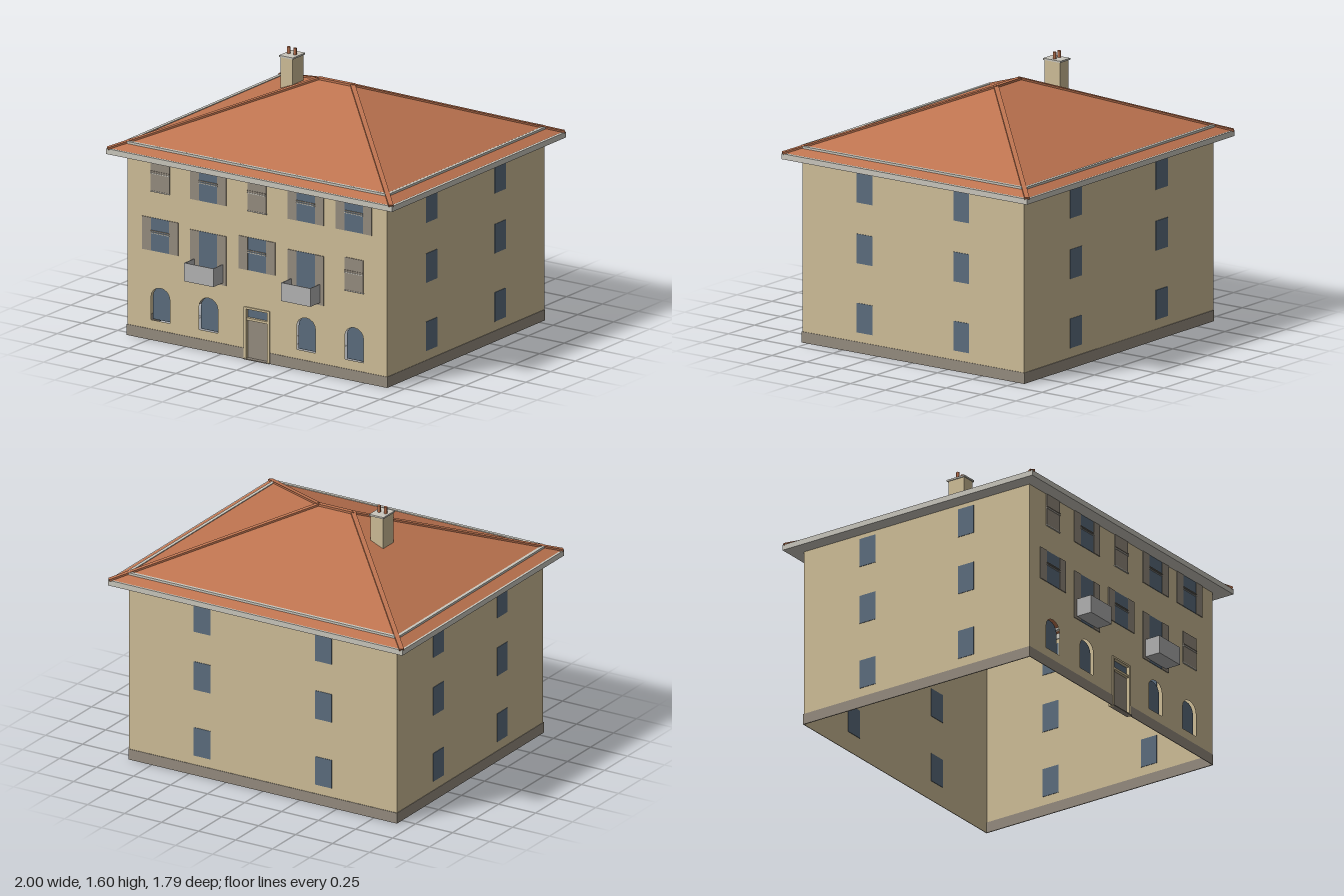
import * as THREE from 'three';

const mat = (name, color, side = THREE.FrontSide) => {
  const m = new THREE.MeshStandardMaterial({ color, side });
  m.name = name;
  return m;
};

export function createModel() {
  const house = new THREE.Group();
  house.name = 'house';
  const plaster = mat('plaster', 0xcfbe98, THREE.DoubleSide);
  const tile = mat('roof tile', 0xbe7450, THREE.DoubleSide);
  const glass = mat('glass', 0x5c6d7e, THREE.DoubleSide);
  const wood = mat('grey wood and stone', 0x958c7f);
  const trim = mat('pale trim', 0xcac7bd);
  const metal = mat('balcony metal', 0xb3b3b3);

  const W = 0.905, ZF = 0.79, ZB = -0.8, ZC = -0.006, H = 1.1;

  const add = (name, geo, material, x = 0, y = 0, z = 0, parent = house) => {
    const m = new THREE.Mesh(geo, material);
    m.name = name;
    m.position.set(x, y, z);
    parent.add(m);
    return m;
  };
  // box given by its limits
  const box = (name, material, x0, x1, y0, y1, z0, z1, parent) =>
    add(name, new THREE.BoxGeometry(x1 - x0, y1 - y0, z1 - z0), material,
      (x0 + x1) / 2, (y0 + y1) / 2, (z0 + z1) / 2, parent);
  const rect = (x0, x1, y0, y1) =>
    [[x0, y0], [x1, y0], [x1, y1], [x0, y1]].map(p => new THREE.Vector2(...p));
  const archPoints = cx => {
    const pts = [new THREE.Vector2(cx - 0.065, 0.12), new THREE.Vector2(cx + 0.065, 0.12)];
    for (let i = 0; i <= 8; i++) {
      const a = Math.PI * i / 8;
      pts.push(new THREE.Vector2(cx + 0.065 * Math.cos(a), 0.262 + 0.058 * Math.sin(a)));
    }
    return pts;
  };

  // front wall with door and arched openings, thin panes set behind it
  const front = new THREE.Shape(rect(-W, W, 0, H));
  front.holes.push(new THREE.Path(rect(-0.075, 0.075, 0.003, 0.305)));
  for (const x of [-0.675, -0.34, 0.34, 0.675]) {
    front.holes.push(new THREE.Path(archPoints(x)));
    add('archedWindow', new THREE.ShapeGeometry(new THREE.Shape(archPoints(x))), glass, 0, 0, ZF - 0.02);
  }
  add('frontWall', new THREE.ShapeGeometry(front), plaster, 0, 0, ZF);

  // plain walls
  const depth = ZF - ZB, zMid = (ZF + ZB) / 2;
  add('backWall', new THREE.PlaneGeometry(2 * W, H), plaster, 0, H / 2, ZB).rotation.y = Math.PI;
  for (const s of [-1, 1])
    add('sideWall', new THREE.PlaneGeometry(depth, H), plaster, s * W, H / 2, zMid).rotation.y = s * Math.PI / 2;

  // plinth, open at the door
  for (const s of [-1, 1]) {
    box('plinthSide', wood, s * W - 0.003, s * W + 0.003, 0, 0.065, ZB - 0.003, ZF + 0.003);
    box('plinthFront', wood, s < 0 ? -W : 0.09, s < 0 ? -0.09 : W, 0, 0.065, ZF + 0.0005, ZF + 0.004);
  }
  box('plinthBack', wood, -W, W, 0, 0.065, ZB - 0.004, ZB - 0.0005);

  // side and back windows
  for (const y of [0.208, 0.618, 0.978]) {
    for (const s of [-1, 1]) {
      for (const z of [0.343, -0.35])
        add('sideWindow', new THREE.BoxGeometry(0.006, 0.175, 0.112), glass, s * W, y, z);
      add('backWindow', new THREE.BoxGeometry(0.112, 0.175, 0.006), glass, s * 0.41, y, ZB);
    }
  }
  // the plates above stay within the wall thickness seen from outside

  // entrance door
  box('door', wood, -0.075, 0.075, 0.003, 0.238, ZF - 0.022, ZF - 0.014);
  box('doorRail', plaster, -0.075, 0.075, 0.236, 0.25, ZF - 0.022, ZF + 0.004);
  box('transomWindow', glass, -0.075, 0.075, 0.25, 0.305, ZF - 0.022, ZF - 0.014);
  for (const s of [-1, 1])
    box('doorJamb', plaster, s < 0 ? -0.09 : 0.073, s < 0 ? -0.073 : 0.09, 0, 0.315, ZF - 0.022, ZF + 0.008);
  box('doorHead', plaster, -0.09, 0.09, 0.303, 0.315, ZF - 0.022, ZF + 0.008);
  box('doorStep', wood, -0.09, 0.09, 0, 0.006, ZF - 0.022, ZF + 0.012);

  // upper front windows: open shutters, closed shutters or balcony doors
  const shutteredWindow = (x, y0, y1, closed, rail) => {
    const g = new THREE.Group();
    g.name = closed ? 'closedWindow' : 'openWindow';
    house.add(g);
    if (closed) {
      box('closedShutter', wood, x - 0.065, x + 0.065, y0, y1, ZF, ZF + 0.005, g);
      box('windowSill', trim, x - 0.067, x + 0.067, y0 - 0.003, y0 + 0.003, ZF, ZF + 0.008, g);
    } else {
      box('windowPane', glass, x - 0.065, x + 0.065, y0, y1, ZF, ZF + 0.003, g);
      for (const s of [-1, 1])
        box('shutter', wood, x + s * 0.095 - 0.031, x + s * 0.095 + 0.031, y0, y1, ZF, ZF + 0.005, g);
    }
    if (rail)
      for (const dy of [0, 0.012])
        box('windowRail', dy ? wood : trim, x - 0.065, x + 0.065,
          y0 + 0.106 + dy, y0 + 0.111 + dy, ZF, ZF + 0.009, g);
  };
  [-0.675, -0.34, 0, 0.34, 0.675].forEach((x, i) => {
    const balcony = i === 1 || i === 3;
    shutteredWindow(x, balcony ? 0.415 : 0.537, balcony ? 0.712 : 0.735, i === 4, !balcony);
    shutteredWindow(x, 0.895, 1.093, i === 0 || i === 2, true);
  });

  // balconies
  for (const s of [-1, 1]) {
    const g = new THREE.Group();
    g.name = 'balcony';
    house.add(g);
    const x0 = s * 0.338 - 0.102, x1 = s * 0.338 + 0.102;
    box('balconyFloor', metal, x0, x1, 0.43, 0.438, ZF, 0.892, g);
    box('balconyFront', metal, x0, x1, 0.43, 0.54, 0.887, 0.893, g);
    box('balconyLeft', metal, x1 - 0.006, x1, 0.43, 0.54, ZF, 0.893, g);
    box('balconyRight', metal, x0, x0 + 0.006, 0.43, 0.54, ZF, 0.893, g);
  }

  // cornice ring under the eaves
  const ring = new THREE.Shape(rect(-0.995, 0.995, -0.88, 0.88));
  ring.holes.push(new THREE.Path(rect(-W + 0.005, W - 0.005, -0.785, 0.785)));
  add('cornice', new THREE.ExtrudeGeometry(ring, { depth: 0.033, bevelEnabled: false }),
    trim, 0, 1.092, ZC).rotation.x = -Math.PI / 2;

  // hipped roof
  const EX = 0.985, EZ = 0.874, EY = 1.128, RX = 0.115, RY = 1.478;
  const eave = [[-EX, EZ], [EX, EZ], [EX, -EZ], [-EX, -EZ]].map(([x, z]) => new THREE.Vector3(x, EY, ZC + z));
  const ridge = [new THREE.Vector3(-RX, RY, ZC), new THREE.Vector3(RX, RY, ZC)];
  const [a, b, c, d] = eave, [l, r] = ridge;
  const roof = new THREE.BufferGeometry().setFromPoints(
    [a, b, r, a, r, l, b, c, r, c, d, l, c, l, r, d, a, l]);
  roof.computeVertexNormals();
  add('roof', roof, tile);

  // ridge and hip caps
  const cap = (name, p, q) => {
    const m = add(name, new THREE.BoxGeometry(0.028, 0.014, p.distanceTo(q) + 0.01), tile);
    m.position.copy(p).add(q).multiplyScalar(0.5);
    m.lookAt(q);
  };
  cap('ridgeCap', l, r);
  eave.forEach(p => cap('hipCap', p, p.x < 0 ? l : r));

  // snow guards along the eaves
  for (const s of [-1, 1]) {
    box('snowGuardSide', trim, s * 0.91 - 0.01, s * 0.91 + 0.01, 1.15, 1.167, ZC - 0.785, ZC + 0.785);
    box('snowGuardEnd', trim, -0.9, 0.9, 1.15, 1.167, ZC + s * 0.8 - 0.01, ZC + s * 0.8 + 0.01);
  }

  // chimney with cap and pots
  box('chimney', plaster, -0.402, -0.318, 1.3, 1.552, -0.14, -0.028);
  box('chimneyCap', trim, -0.408, -0.312, 1.55, 1.56, -0.147, -0.022);
  for (const x of [-0.384, -0.34])
    add('chimneyPot', new THREE.CylinderGeometry(0.01, 0.01, 0.042, 12), tile, x, 1.579, -0.085);

  return house;
}
